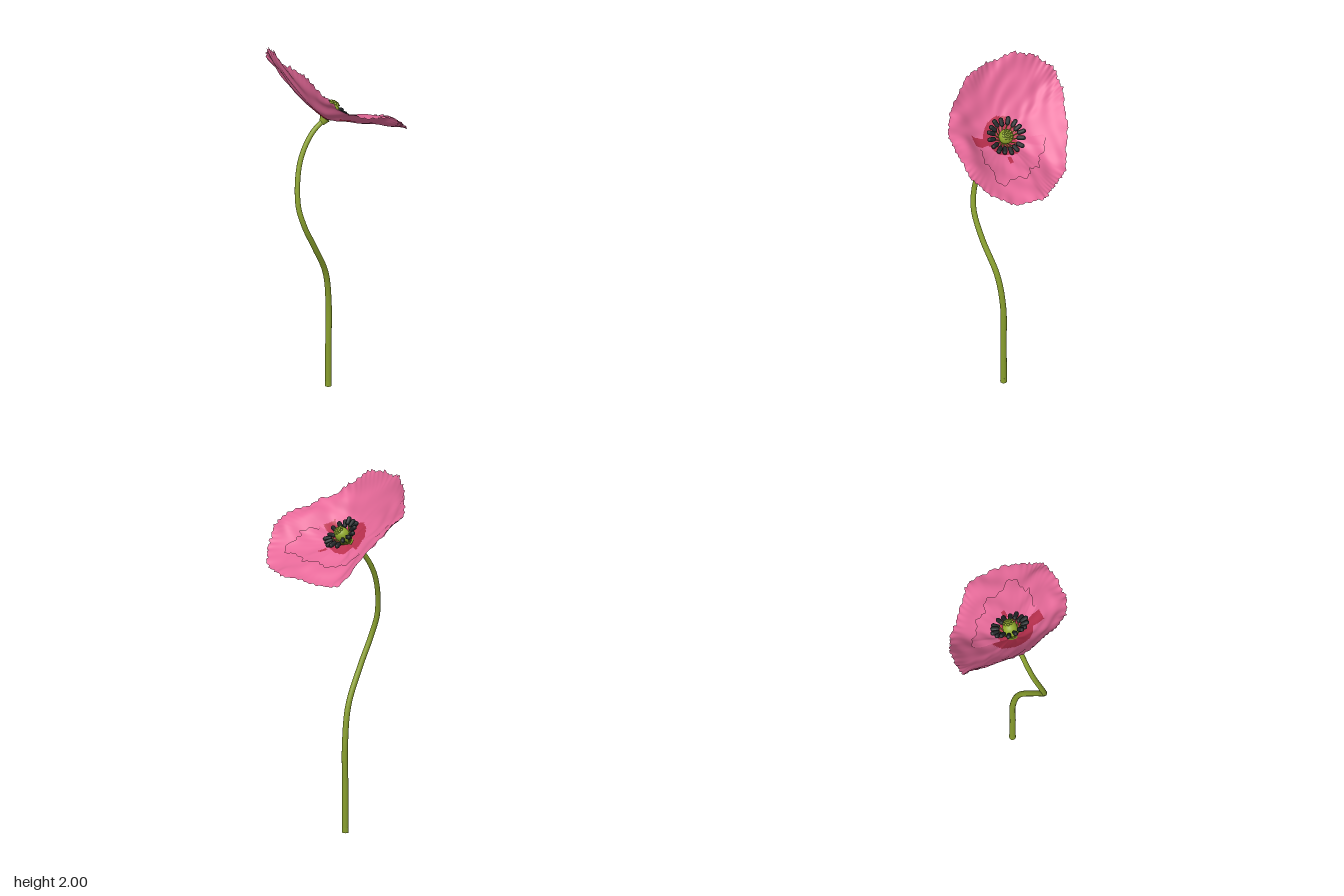
import * as THREE from 'three';

const V = (x, y, z) => new THREE.Vector3(x, y, z);
const mat = (name, color, side = THREE.FrontSide) => {
  const m = new THREE.MeshStandardMaterial({ color, side });
  m.name = name;
  return m;
};
const bell = (x, centre, width) => Math.exp(-(((x - centre) / width) ** 2));

// Flower base and the direction the bloom faces
const BASE = V(-0.1, 1.61, 0.02);
const AXIS = V(0.62, 0.78, 0).normalize();

// Rim of the bloom, going from the back round by the left to the front
const RIM = new THREE.CatmullRomCurve3([
  V(-0.25, 1.86, -0.345), V(-0.16, 1.77, -0.35), V(-0.035, 1.62, -0.32), V(0.105, 1.465, -0.25),
  V(0.22, 1.475, -0.14), V(0.315, 1.49, -0.04), V(0.32, 1.51, 0.14), V(0.26, 1.58, 0.26),
  V(0.18, 1.655, 0.335), V(0.03, 1.715, 0.352), V(-0.085, 1.76, 0.345), V(-0.2, 1.84, 0.27),
  V(-0.285, 1.95, 0.14), V(-0.315, 1.98, 0.01), V(-0.325, 1.99, -0.14), V(-0.3, 1.94, -0.26),
], true);

// Ragged edge, as a small change of radius
const ragged = (u) => 0.008 * Math.sin(u * 283) + 0.008 * Math.sin(u * 517 + 1) + 0.01 * Math.sin(u * 101 + 2);

// Point on the bloom: u runs round the rim, t from the base to the rim
function bloomPoint(u, t) {
  const w = ((u % 1) + 1) % 1;
  const p = RIM.getPoint(w);
  const a = w * Math.PI * 2;
  const side = (p.x - BASE.x) / Math.hypot(p.x - BASE.x, p.z - BASE.z);
  const bow = (0.019 - 0.016 * side) * Math.sin(Math.PI * t);
  const lip = 0.05 * bell(w, 0.56, 0.11) * bell(t, 0.78, 0.2);
  const folds = t * t * (0.006 * Math.sin(5 * a + 4 * t) + 0.004 * Math.sin(11 * a - 9 * t + 2 * Math.sin(3 * a)));
  const dents = 0.005 * t * Math.sin(17 * t + 4 * Math.sin(3 * a));
  const frill = 0.004 * Math.pow(t, 14) * Math.sin(53 * a + 5 * Math.sin(4 * a));
  return p.sub(BASE).multiplyScalar(t).add(BASE).addScaledVector(AXIS, folds + dents + frill + lip - bow);
}

// Grid surface; cells accepted by isBlotch go to the second material
function sheet(fn, nu, nt, closed, isBlotch) {
  const cols = closed ? nu : nu + 1;
  const pos = [];
  for (let j = 0; j <= nt; j++) {
    for (let i = 0; i < cols; i++) pos.push(...fn(i / nu, j / nt).toArray());
  }
  const faces = [[], []];
  for (let j = 0; j < nt; j++) {
    for (let i = 0; i < nu; i++) {
      const k = (i + 1) % cols;
      const a = j * cols + i, b = j * cols + k, c = b + cols, d = a + cols;
      faces[isBlotch(pos[a * 3], pos[a * 3 + 2]) ? 1 : 0].push(a, b, c, a, c, d);
    }
  }
  const g = new THREE.BufferGeometry();
  g.setAttribute('position', new THREE.Float32BufferAttribute(pos, 3));
  g.setIndex([...faces[0], ...faces[1]]);
  g.addGroup(0, faces[0].length, 0);
  g.addGroup(faces[0].length, faces[1].length, 1);
  g.computeVertexNormals();
  return g;
}

export function createModel() {
  const model = new THREE.Group();
  const pink = mat('petal pink', 0xe86a9a, THREE.DoubleSide);
  const red = mat('blotch red', 0xba304e, THREE.DoubleSide);
  const stemGreen = mat('stem green', 0x899f2e);
  const podGreen = mat('pod green', 0x92ab2c);
  const black = mat('anther black', 0x1f2425);
  const add = (name, geometry, material, parent = model) => {
    const m = new THREE.Mesh(geometry, material);
    m.name = name;
    parent.add(m);
    return m;
  };

  // Winding stem, slimmer towards the flower, with a closed foot
  const path = new THREE.CatmullRomCurve3([
    V(-0.08, 0, 0.025), V(-0.08, 0.25, 0.026), V(-0.08, 0.5, 0.028), V(-0.11, 0.7, 0.05), V(-0.205, 0.9, 0.1),
    V(-0.275, 1.05, 0.118), V(-0.303, 1.18, 0.1), V(-0.265, 1.4, 0.05), V(-0.185, 1.54, 0.028), BASE.clone(),
  ]);
  const SEGMENTS = 90, SIDES = 14;
  const stem = new THREE.TubeGeometry(path, SEGMENTS, 0.0175, SIDES);
  const point = new THREE.Vector3();
  for (let i = 0; i < stem.attributes.position.count; i++) {
    const t = Math.floor(i / (SIDES + 1)) / SEGMENTS;
    point.fromBufferAttribute(stem.attributes.position, i).lerp(path.getPointAt(t), 0.24 * t);
    stem.attributes.position.setXYZ(i, point.x, point.y, point.z);
  }
  add('stem', stem, stemGreen);
  const foot = add('stemFoot', new THREE.CylinderGeometry(0.0175, 0.0185, 0.03, SIDES), stemGreen);
  foot.position.set(-0.08, 0.015, 0.025);

  // Outer petals with the red blotch at their base
  const outerBlotch = (x, z) => (x < -0.03 && Math.hypot(x + 0.07, z - 0.02) < 0.115) ||
    (x > -0.1 && x < -0.035 && z > 0.08 && z < 0.2);
  add('outerPetals', sheet((u, t) => bloomPoint(u, t * (1 + ragged(u) * t)), 360, 60, true, outerBlotch), [pink, red]);

  // Shorter inner petal lying over the lower half, red under the stamens
  const innerPoint = (s, t) => {
    const u = 0.125 + s * 0.425;
    const reach = 0.63 + 0.16 * bell(s, 0.67, 0.12) - 0.08 * s +
      0.035 * Math.sin(s * 31) + 0.018 * Math.sin(s * 83);
    const lift = (0.006 + 0.014 * t) * Math.min(1, 12 * s + 0.2, 12 * (1 - s) + 0.2);
    return bloomPoint(u, t * reach).addScaledVector(AXIS, lift);
  };
  const innerBlotch = (x, z) => (x < 0.005 && z > -0.05 && Math.hypot(x + 0.07, z - 0.035) < 0.09) ||
    (x > 0.02 && x < 0.065 && Math.abs(z - 0.035) < 0.011);
  add('innerPetal', sheet(innerPoint, 160, 50, false, innerBlotch), [pink, red]);

  // Flower heart, built upright and then tilted onto the base
  const heart = new THREE.Group();
  heart.name = 'heart';
  heart.position.copy(BASE);
  heart.quaternion.setFromUnitVectors(V(0, 1, 0), AXIS);
  model.add(heart);

  const cup = add('receptacle', new THREE.CylinderGeometry(0.03, 0.014, 0.035, 16), stemGreen, heart);
  cup.position.y = -0.014;

  const podProfile = [[0, 0], [0.018, 0.005], [0.03, 0.03], [0.039, 0.06], [0.037, 0.08], [0.026, 0.097], [0, 0.105]];
  const podCurve = new THREE.SplineCurve(podProfile.map(([x, y]) => new THREE.Vector2(x, y)));
  add('seedPod', new THREE.LatheGeometry(podCurve.getPoints(24).map((p) => p.setX(Math.max(0, p.x))), 28), podGreen, heart);

  // Beaded crown on the pod
  const bead = new THREE.SphereGeometry(0.0068, 8, 6);
  add('crownBead', bead, podGreen, heart).position.y = 0.107;
  for (let i = 0; i < 9; i++) {
    const a = (i / 9) * Math.PI * 2;
    for (const [r, y] of [[0.012, 0.106], [0.024, 0.101]]) {
      add('crownBead', bead, podGreen, heart).position.set(r * Math.cos(a), y, r * Math.sin(a));
    }
  }

  // Ring of stamens: a curved filament carrying a dark anther
  const filament = new THREE.TubeGeometry(
    new THREE.QuadraticBezierCurve3(V(0.015, 0.01, 0), V(0.045, 0.03, 0), V(0.07, 0.07, 0)), 8, 0.0035, 6);
  const anther = new THREE.CapsuleGeometry(0.0125, 0.026, 4, 10);
  const COUNT = 16;
  for (let i = 0; i < COUNT; i++) {
    const stamen = new THREE.Group();
    stamen.name = 'stamen';
    stamen.rotation.y = (i / COUNT) * Math.PI * 2 + 0.04 * Math.sin(i * 5);
    add('filament', filament, podGreen, stamen);
    const tip = add('anther', anther, black, stamen);
    tip.position.set(0.084 + 0.004 * Math.sin(i * 3.7), 0.074 + 0.005 * Math.sin(i * 2.3), 0);
    tip.rotation.z = -1.3;
    heart.add(stamen);
  }
  return model;
}
